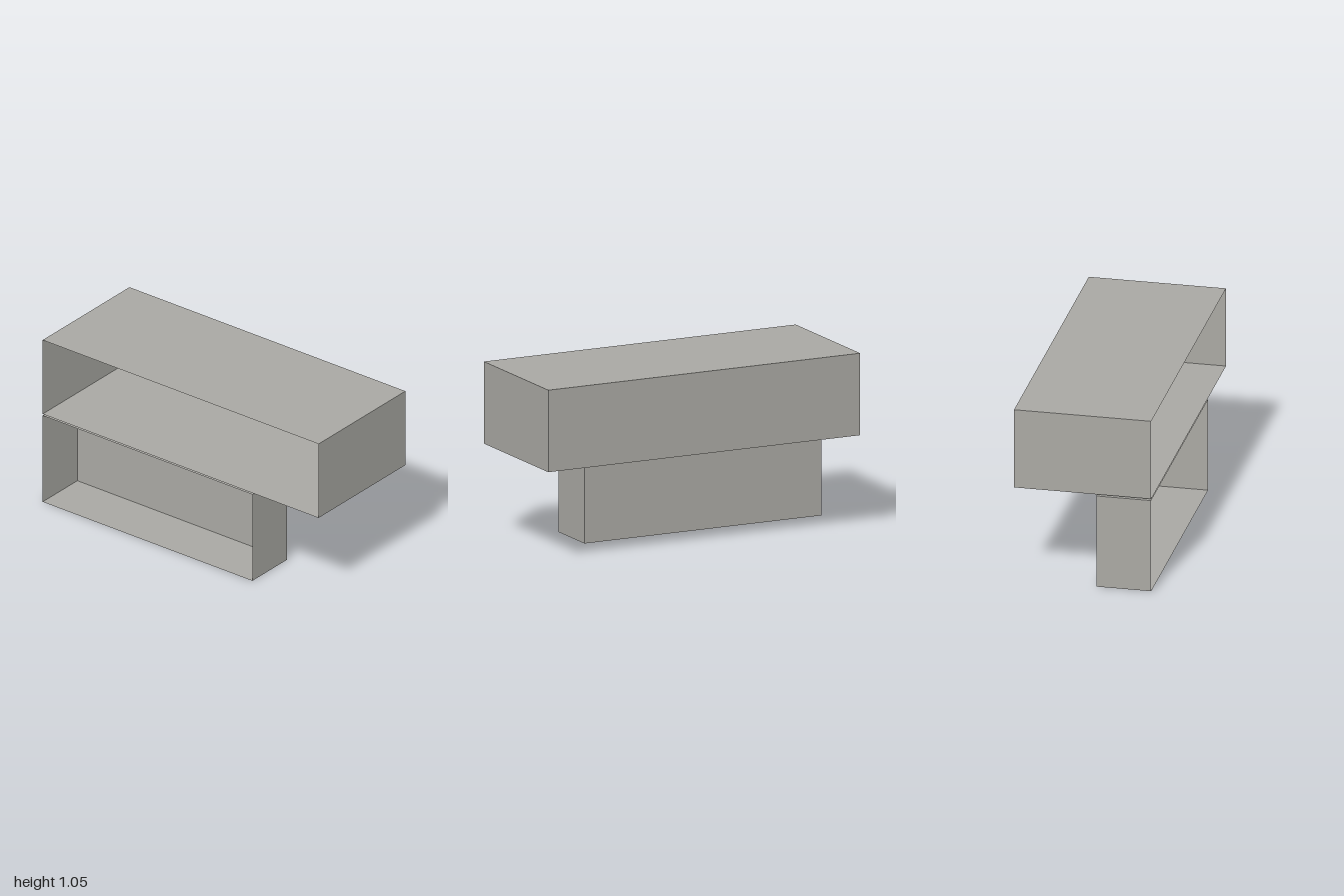
import * as THREE from 'three';

// Thin-walled box given by its min and max corners, open on the -x side
function openBox(name, min, max, material) {
  const size = max.map((v, i) => v - min[i]);
  const geometry = new THREE.BoxGeometry(...size);
  const index = Array.from(geometry.index.array);
  index.splice(6, 6); // drop the -x face
  geometry.setIndex(index);
  geometry.clearGroups();
  const mesh = new THREE.Mesh(geometry, material);
  mesh.name = name;
  mesh.position.set(...max.map((v, i) => (v + min[i]) / 2));
  return mesh;
}

export function createModel() {
  const grey = new THREE.MeshStandardMaterial({ color: 0xaaa9a4, side: THREE.DoubleSide });
  grey.name = 'warm grey';

  const model = new THREE.Group();
  model.name = 'stackedBoxes';

  // Wide upper box, floating just above the lower one
  model.add(openBox('upperBox', [-0.4, 0.57, -1], [0.4, 1.05, 1], grey));

  // Narrow lower box, flush with the back and the -x side
  model.add(openBox('lowerBox', [-0.4, 0, -1], [-0.08, 0.56, 0.52], grey));

  return model;
}
